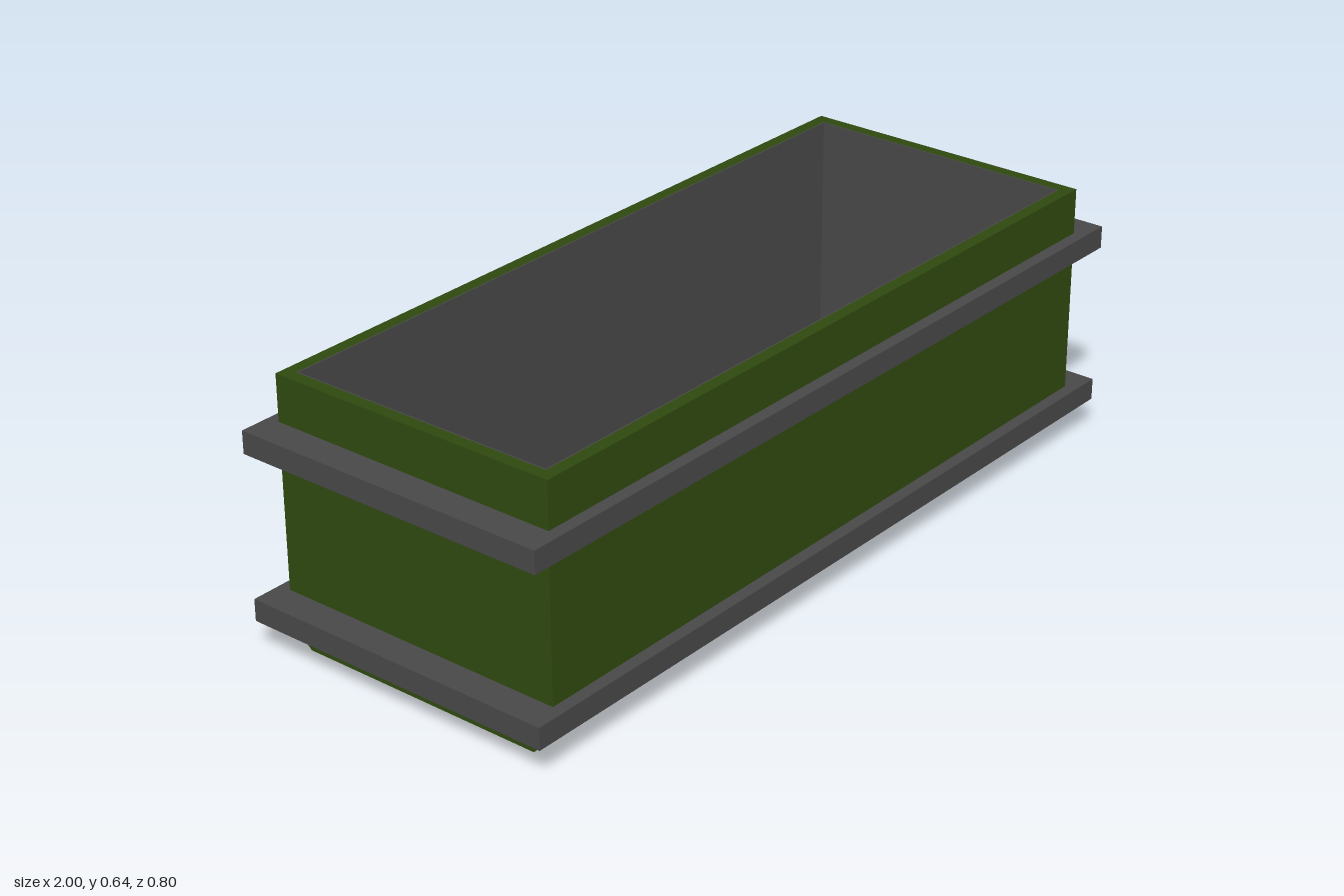
import * as THREE from 'three';

const green = new THREE.MeshStandardMaterial({ color: 0x2f490f });
green.name = 'dark green';
const grey = new THREE.MeshStandardMaterial({ color: 0x484848 });
grey.name = 'dark grey';

const W = 0.925, D = 0.37, H = 0.637;   // half width, half depth, height
const INNER_W = 0.895, INNER_D = 0.34;  // half size of the opening
const FLOOR = 0.05;

// Counter-clockwise rectangle from half sizes
function corners(w, d) {
  return [[-w, -d], [w, -d], [w, d], [-w, d]].map(([x, y]) => new THREE.Vector2(x, y));
}

// Rectangular ring standing between y0 and y1
function ring(name, material, w, d, holeW, holeD, y0, y1) {
  const shape = new THREE.Shape(corners(w, d));
  shape.holes.push(new THREE.Path(corners(holeW, holeD).reverse()));
  const geometry = new THREE.ExtrudeGeometry(shape, { depth: y1 - y0, bevelEnabled: false });
  geometry.rotateX(-Math.PI / 2).translate(0, y0, 0);
  const mesh = new THREE.Mesh(geometry, material);
  mesh.name = name;
  return mesh;
}

export function createModel() {
  const model = new THREE.Group();
  model.name = 'planterBox';

  // Base, chamfered along the two long edges
  const profile = new THREE.Shape([[-0.315, 0], [0.315, 0], [D, FLOOR], [-D, FLOOR]]
    .map(([z, y]) => new THREE.Vector2(z, y)));
  const baseGeometry = new THREE.ExtrudeGeometry(profile, { depth: 2 * W, bevelEnabled: false });
  baseGeometry.translate(0, 0, -W).rotateY(Math.PI / 2);
  const base = new THREE.Mesh(baseGeometry, green);
  base.name = 'base';
  model.add(base);

  // Walls and their grey inner lining
  model.add(ring('walls', green, W, D, INNER_W, INNER_D, FLOOR, H));
  model.add(ring('lining', grey, INNER_W, INNER_D, INNER_W - 0.003, INNER_D - 0.003, FLOOR, H));

  // Inside floor
  const floor = new THREE.Mesh(new THREE.BoxGeometry(2 * INNER_W, 0.006, 2 * INNER_D), grey);
  floor.name = 'floor';
  floor.position.y = FLOOR + 0.003;
  model.add(floor);

  // Two bands around the outside
  model.add(ring('lowerBand', grey, 1, 0.4, W, D, 0.075, 0.128));
  model.add(ring('upperBand', grey, 1, 0.4, W, D, 0.472, 0.526));

  return model;
}
